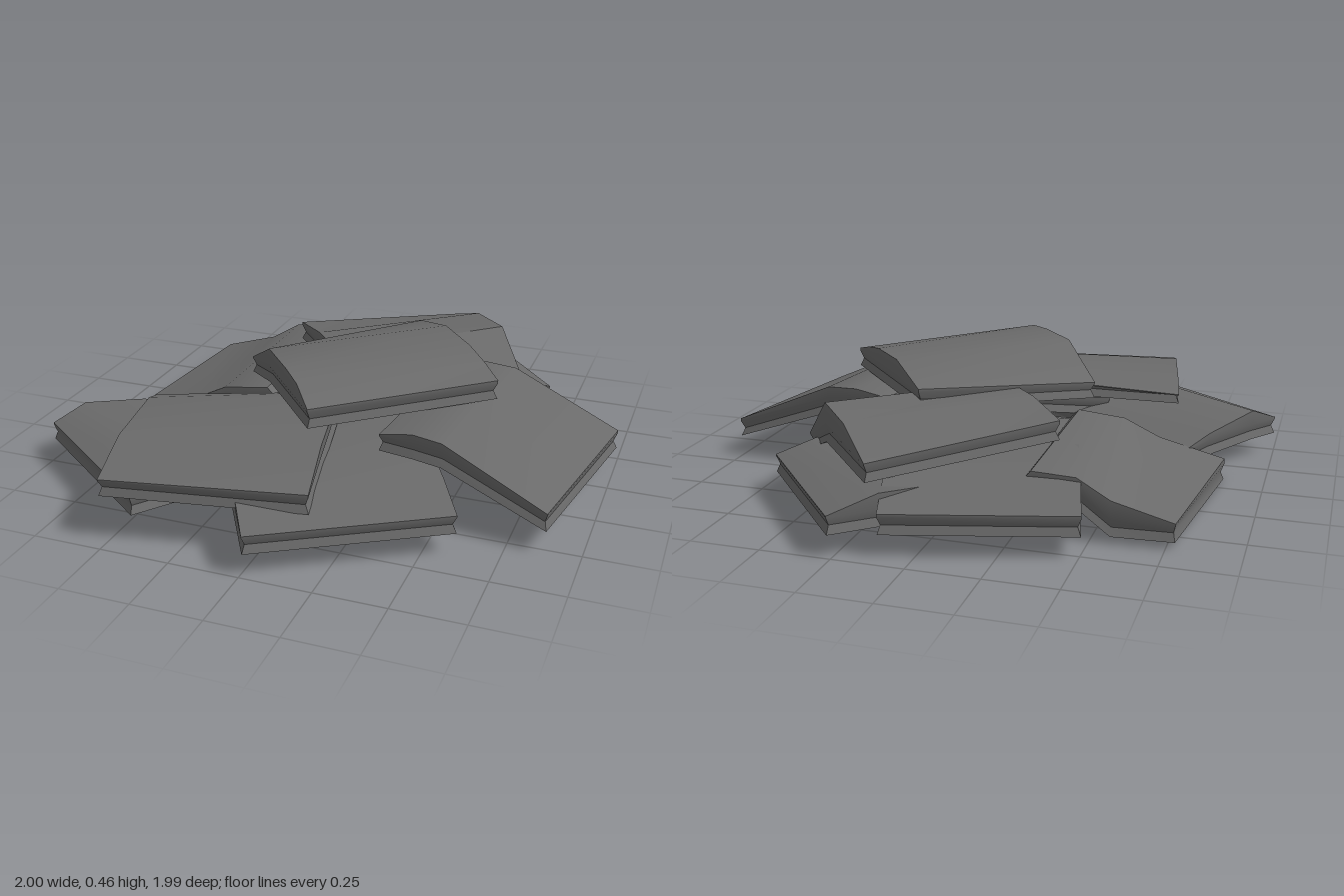
import * as THREE from 'three';
import { toCreasedNormals } from 'three/addons/utils/BufferGeometryUtils.js';

const BAND = 0.06, NOTCH = 0.016;
const material = new THREE.MeshStandardMaterial({ color: 0x6a6a6a });

// Bent slab with a notched rim and a crowned top.
// corners: [x, z], outer edge first, then inner edge, anticlockwise from above.
// us: stations from outer to inner edge; tops, bottoms: heights there along both side edges.
function slab(name, corners, us, tops, bottoms) {
  const [c0, c1, c2, c3] = corners.map(c => new THREE.Vector2(...c));
  const pos = [], index = [];
  const n = us.length, ring = 2 * n, clamp = THREE.MathUtils.clamp;

  // Add the point at station i on side v; height is chosen from the bottom and top there
  const add = (i, v, height, inset) => {
    const u = clamp(us[i], inset, 1 - inset), w = clamp(v, inset, 1 - inset);
    const q = c0.clone().lerp(c3, u).lerp(c1.clone().lerp(c2, u), w);
    pos.push(q.x, height(bottoms[v][i], tops[v][i]), q.y);
  };
  const quad = (p, q, r, s) => index.push(p, q, r, p, r, s);

  // Perimeter rings: crown edge, band, notch, bottom
  const rings = [
    [(b, t) => t, 0],
    [(b, t) => b + Math.min(BAND, t - b - 0.004), 0],
    [b => b + BAND / 2, NOTCH],
    [b => b, 0],
  ];
  for (const [height, inset] of rings) {
    for (let i = 0; i < n; i++) add(i, 1, height, inset);
    for (let i = n - 1; i >= 0; i--) add(i, 0, height, inset);
  }
  for (let k = 0; k < rings.length - 1; k++) {
    for (let i = 0; i < ring; i++) {
      const j = (i + 1) % ring, t = k * ring;
      quad(t + i, t + ring + i, t + ring + j, t + j);
    }
  }

  // Upper and lower faces
  const d = (rings.length - 1) * ring;
  for (let i = 0; i < n - 1; i++) {
    const l0 = ring - 1 - i, l1 = l0 - 1;
    quad(l0, i, i + 1, l1);
    quad(d + l1, d + i + 1, d + i, d + l0);
  }
  const geo = new THREE.BufferGeometry();
  geo.setAttribute('position', new THREE.Float32BufferAttribute(pos, 3));
  geo.setIndex(index);
  const mesh = new THREE.Mesh(toCreasedNormals(geo, 0.6), material);
  mesh.name = name;
  return mesh;
}

export function createModel() {
  const group = new THREE.Group();
  group.name = 'slabPile';
  const bend = [0, 0.25, 0.7, 1];
  const low = [0.145, 0.195, 0.195, 0.15];
  const raised = [0.15, 0.21, 0.225, 0.19];
  const flat = y => us => us.map(() => y);
  const ground = [flat(0.08)(bend), flat(0.08)(bend)];

  group.add(
    // Bottom ring around a hidden core
    slab('coreSlab', [[-0.34, 0.22], [0.06, 0.23], [0.1, -0.45], [-0.42, -0.45]], bend, [low, low], ground),
    slab('frontBaseSlab', [[0.01, 0.99], [0.61, 0.63], [0.25, 0.03], [-0.35, 0.39]], bend,
      [[0.145, 0.19, 0.2, 0.19], [0.145, 0.19, 0.24, 0.26]],
      [[0.08, 0.09, 0.11, 0.12], [0.08, 0.11, 0.16, 0.2]]),
    slab('frontRightBaseSlab', [[-1, 0.47], [-0.44, 0.89], [-0.08, 0.4], [-0.69, 0.04]], bend,
      [[0.145, 0.195, 0.15, 0.1], low],
      [[0.08, 0.08, 0.065, 0.04], flat(0.08)(bend)]),
    slab('backLeftBaseSlab', [[0.68, -0.51], [0.26, -1], [-0.27, -0.54], [0.15, -0.05]], bend, [low, low], ground),
    slab('backBaseSlab', [[0.11, -0.95], [-0.51, -0.78], [-0.34, -0.12], [0.28, -0.29]], bend, [raised, raised], ground),
    slab('rightSlab', [[-0.78, -0.61], [-0.85, 0.1], [-0.27, 0.07], [-0.28, -0.64]],
      [0, 0.42, 0.65, 0.95, 1],
      [[0.09, 0.15, 0.22, 0.23, 0.2], [0.08, 0.145, 0.21, 0.23, 0.2]],
      [[0.025, 0.025, 0.115, 0.13, 0.13], [0, 0.012, 0.105, 0.13, 0.13]]),

    // Middle layer
    slab('leftSlab', [[0.88, 0.52], [1, -0.18], [0.35, -0.25], [0.28, 0.45]], [0, 0.62, 0.8, 1],
      [[0.145, 0.315, 0.325, 0.3], [0.15, 0.325, 0.33, 0.31]],
      [[0.08, 0.225, 0.235, 0.24], [0.08, 0.225, 0.235, 0.24]]),
    slab('frontSlab', [[-0.52, 0.95], [0.17, 0.82], [0.05, 0.18], [-0.64, 0.31]], [0, 0.35, 0.85, 1],
      [[0.23, 0.285, 0.28, 0.25], [0.235, 0.3, 0.33, 0.31]],
      [[0.17, 0.19, 0.21, 0.215], [0.165, 0.2, 0.24, 0.25]]),
    slab('backSlab', [[0.19, -0.85], [-0.34, -0.39], [0.08, 0.09], [0.61, -0.37]], [0, 0.33, 0.66, 1],
      [[0.275, 0.35, 0.365, 0.19], [0.33, 0.36, 0.36, 0.23]],
      [[0.21, 0.215, 0.22, 0.13], [0.26, 0.26, 0.25, 0.15]]),

    // Top
    slab('topSlab', [[0.06, 0.55], [0.6, 0.09], [0.17, -0.4], [-0.36, 0.06]], [0, 0.17, 0.35, 0.66, 1],
      [[0.4, 0.45, 0.46, 0.46, 0.345], [0.4, 0.43, 0.45, 0.455, 0.4]],
      [[0.33, 0.33, 0.33, 0.33, 0.285], [0.33, 0.33, 0.33, 0.33, 0.33]])
  );
  return group;
}
